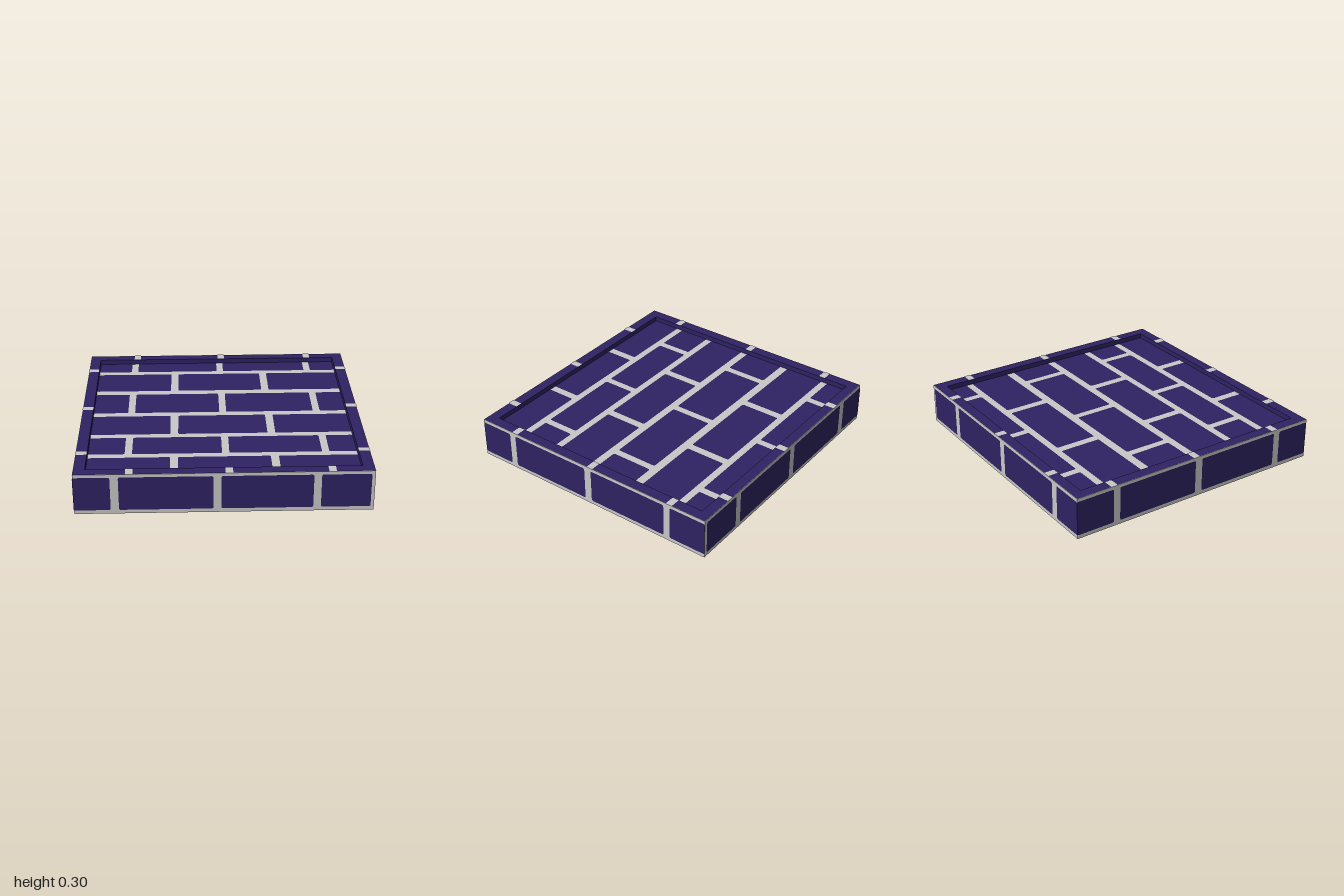
import * as THREE from 'three';

const W = 1, D = 0.966, H = 0.3;      // half width, half depth, height
const IW = 0.92, ID = 0.888;          // half size of the sunken top
const FLOOR = 0.26, SKIN = 0.002;     // sunken floor level, brick face offset

const brick = new THREE.MeshStandardMaterial({ color: 0x2e2363 });
brick.name = 'indigo brick';
const mortar = new THREE.MeshStandardMaterial({ color: 0xc8c8c8 });
mortar.name = 'pale mortar';

// Rectangle with slightly softened corners
function softRect(x0, x1, y0, y1, r = 0.012) {
  const s = new THREE.Shape();
  s.moveTo(x0 + r, y0);
  s.lineTo(x1 - r, y0).quadraticCurveTo(x1, y0, x1, y0 + r);
  s.lineTo(x1, y1 - r).quadraticCurveTo(x1, y1, x1 - r, y1);
  s.lineTo(x0 + r, y1).quadraticCurveTo(x0, y1, x0, y1 - r);
  s.lineTo(x0, y0 + r).quadraticCurveTo(x0, y0, x0 + r, y0);
  return s;
}

// Flat faces drawn in the local xy plane, then turned and placed
function faces(name, shapes, material, position, rotation) {
  const mesh = new THREE.Mesh(new THREE.ShapeGeometry(shapes, 3), material);
  mesh.name = name;
  mesh.position.set(...position);
  mesh.rotation.set(...rotation);
  return mesh;
}

// Brick courses: z range, then the x range of every brick
const ODD = [[-0.92, -0.67], [-0.62, -0.005], [0.045, 0.68], [0.73, 0.92]];
const EVEN = [[-0.92, -0.36], [-0.305, 0.325], [0.38, 0.92]];
const COURSES = [
  [-0.888, -0.73, ODD], [-0.68, -0.38, EVEN], [-0.32, -0.01, ODD],
  [0.045, 0.33, EVEN], [0.38, 0.62, ODD], [0.67, 0.888, EVEN],
];

// zSign is -1 where local y runs against z
function courseShapes(sx, sz, zSign) {
  return COURSES.flatMap(([z0, z1, row]) => row.map(([x0, x1]) => {
    const a = z0 * sz * zSign, b = z1 * sz * zSign;
    return softRect(x0 * sx, x1 * sx, Math.min(a, b), Math.max(a, b));
  }));
}

function box(name, w, h, d, x, y, z, material) {
  const mesh = new THREE.Mesh(new THREE.BoxGeometry(w, h, d), material);
  mesh.name = name;
  mesh.position.set(x, y, z);
  return mesh;
}

export function createModel() {
  const model = new THREE.Group();
  model.name = 'brickSlab';

  // Mortar body up to the sunken floor
  const bw = W - SKIN, bd = D - SKIN;
  model.add(box('mortarBody', 2 * bw, FLOOR - SKIN, 2 * bd, 0, (FLOOR + SKIN) / 2, 0, mortar));

  // Raised rim around the top
  const e = 0.004;
  const rimShape = new THREE.Shape([
    [-W + e, -D + e], [W - e, -D + e], [W - e, D - e], [-W + e, D - e],
  ].map(p => new THREE.Vector2(...p)));
  rimShape.holes.push(new THREE.Path([
    [-IW, -ID], [-IW, ID], [IW, ID], [IW, -ID],
  ].map(p => new THREE.Vector2(...p))));
  const rim = new THREE.Mesh(
    new THREE.ExtrudeGeometry(rimShape, { depth: H - SKIN - FLOOR, bevelEnabled: false }), brick);
  rim.name = 'rim';
  rim.rotation.x = -Math.PI / 2;
  rim.position.y = FLOOR;
  model.add(rim);

  // Mortar bands on the outer sides of the rim
  const bandH = H - SKIN - FLOOR, bandY = FLOOR + bandH / 2, t = 0.003;
  for (const s of [-1, 1]) {
    model.add(box('rimBandLong', 2 * bw, bandH, t, 0, bandY, s * (bd - t / 2), mortar));
    model.add(box('rimBandShort', t, bandH, 2 * bd, s * (bw - t / 2), bandY, 0, mortar));
  }

  // Mortar joints across the rim
  const joints = [];
  for (const x of [-0.628, 0.033, 0.715])
    for (const [a, b] of [[-D, -ID], [ID, D]]) joints.push(softRect(x - 0.025, x + 0.025, a, b, 0.004));
  for (const z of [-0.68, -0.015, 0.665])
    for (const [a, b] of [[-W, -IW], [IW, W]]) joints.push(softRect(a, b, -z - 0.024, -z + 0.024, 0.004));
  model.add(faces('rimJoints', joints, mortar, [0, H, 0], [-Math.PI / 2, 0, 0]));

  // Brick courses on the sunken floor and the underside
  model.add(faces('topBricks', courseShapes(1, 1, -1), brick,
    [0, FLOOR + SKIN, 0], [-Math.PI / 2, 0, 0]));
  model.add(faces('bottomBricks', courseShapes(W / IW, D / ID, 1), brick,
    [0, 0, 0], [Math.PI / 2, 0, 0]));

  // One course of bricks along each side
  const Y0 = 0.03, Y1 = 0.276;
  const alongX = [[-1, -0.755], [-0.7, -0.073], [-0.02, 0.592], [0.643, 0.975]];
  const alongZ = [[-D, -0.687], [-0.637, -0.025], [0.03, 0.66], [0.71, 0.96]];
  const course = (row, sign) => row.map(([a, b]) =>
    softRect(Math.min(a * sign, b * sign), Math.max(a * sign, b * sign), Y0, Y1));
  model.add(faces('frontBricks', course(alongX, 1), brick, [0, 0, D], [0, 0, 0]));
  model.add(faces('backBricks', course(alongX, -1), brick, [0, 0, -D], [0, Math.PI, 0]));
  model.add(faces('leftBricks', course(alongZ, -1), brick, [W, 0, 0], [0, Math.PI / 2, 0]));
  model.add(faces('rightBricks', course(alongZ, 1), brick, [-W, 0, 0], [0, -Math.PI / 2, 0]));

  return model;
}
